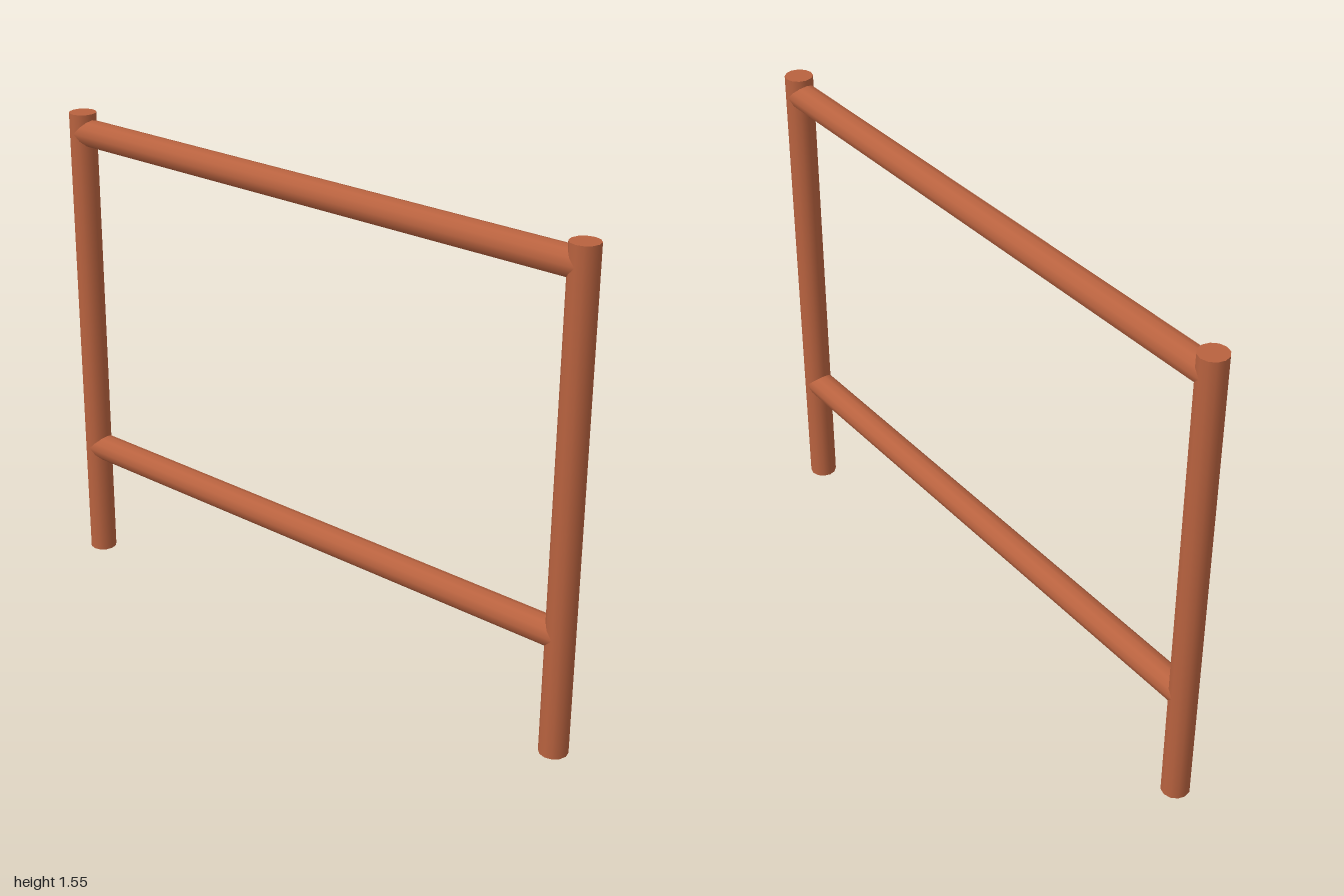
import * as THREE from 'three';

export function createModel() {
  const model = new THREE.Group();
  model.name = 'pipeFrame';
  const paint = new THREE.MeshStandardMaterial({ color: 0xb8623f });
  paint.name = 'terracotta paint';

  const radius = 0.044, height = 1.547, postZ = 1 - radius;

  function pipe(name, length) {
    const mesh = new THREE.Mesh(new THREE.CylinderGeometry(radius, radius, length, 12), paint);
    mesh.name = name;
    model.add(mesh);
    return mesh;
  }

  // Upright posts at the front and back
  for (const side of [1, -1]) {
    pipe(side > 0 ? 'frontPost' : 'backPost', height).position.set(0, height / 2, side * postZ);
  }

  // Horizontal rails, running between the post axes
  for (const [name, y] of [['topRail', 1.484], ['lowerRail', 0.385]]) {
    const rail = pipe(name, postZ * 2);
    rail.rotation.x = Math.PI / 2;
    rail.position.y = y;
  }

  return model;
}
